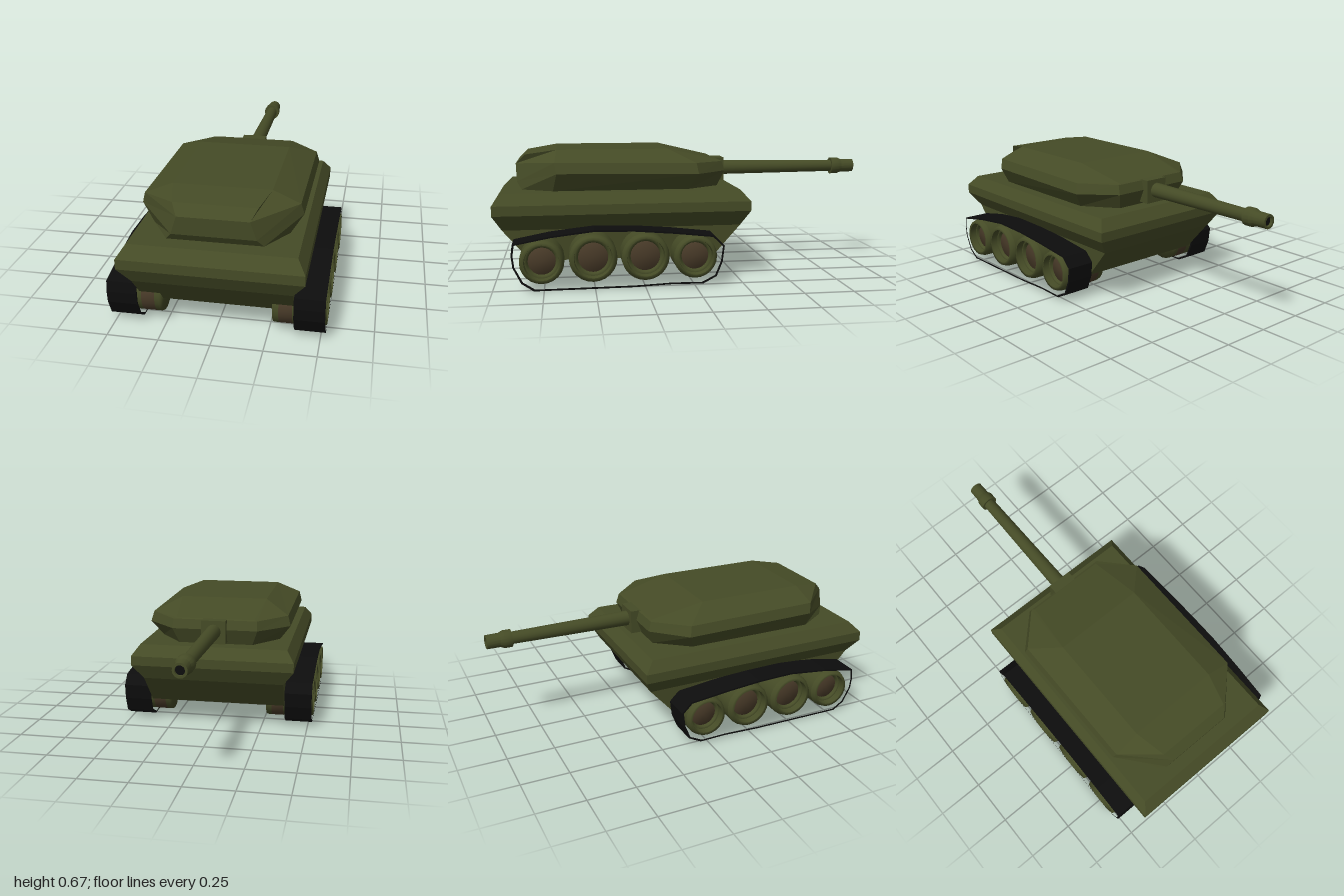
import * as THREE from 'three';
import { toCreasedNormals } from 'three/addons/utils/BufferGeometryUtils.js';

const paint = (name, color) => {
  const m = new THREE.MeshStandardMaterial({ color });
  m.name = name;
  return m;
};

// Stacks mirrored half outlines ([x, y, z] from front to back) into a closed faceted solid.
function loft(halves) {
  const rings = halves.map(h => [...h, ...h.slice().reverse().map(([x, y, z]) => [-x, y, z])]);
  const n = rings[0].length, pos = [];
  const quad = (a, b, c, d) => pos.push(...a, ...b, ...c, ...a, ...c, ...d);
  for (let r = 0; r < rings.length - 1; r++)
    for (let i = 0; i < n; i++) {
      const j = (i + 1) % n;
      quad(rings[r][i], rings[r][j], rings[r + 1][j], rings[r + 1][i]);
    }
  const bottom = rings[0], top = rings[rings.length - 1];
  for (let k = 0; k < n / 2 - 1; k++) {
    quad(top[n - 1 - k], top[k], top[k + 1], top[n - 2 - k]);
    quad(bottom[n - 2 - k], bottom[k + 1], bottom[k], bottom[n - 1 - k]);
  }
  const g = new THREE.BufferGeometry();
  g.setAttribute('position', new THREE.Float32BufferAttribute(pos, 3));
  g.computeVertexNormals();
  return g;
}

// Turns a profile of [radius, distance along axis] with crisp edges.
const turned = (profile, sides) =>
  toCreasedNormals(new THREE.LatheGeometry(profile.map(p => new THREE.Vector2(...p)), sides), 0.5);

export function createModel() {
  const model = new THREE.Group();
  model.name = 'tank';
  const olive = paint('olive paint', 0x454b26);
  const black = paint('black rubber', 0x0d0d0d);
  const brown = paint('rusty brown', 0x483a28);
  const add = (name, geometry, material, parent = model) => {
    const mesh = new THREE.Mesh(geometry, material);
    mesh.name = name;
    parent.add(mesh);
    return mesh;
  };

  // Hull: rows of half width, height, front z, back z
  add('hull', loft([
    [0.37, 0.12, 0.82, -0.12],
    [0.378, 0.28, 0.955, -0.26],
    [0.435, 0.36, 1.0, -0.305],
    [0.435, 0.41, 1.0, -0.305],
    [0.395, 0.467, 0.945, -0.255],
  ].map(([x, y, f, b]) => [[x, y, f], [x, y, b]])), olive);

  // Turret with chamfered corners
  add('turret', loft([
    [[0.23, 0.467, 0.86], [0.33, 0.467, 0.7], [0.33, 0.467, 0.0], [0.2, 0.467, -0.17]],
    [[0.2, 0.505, 0.885], [0.39, 0.56, 0.68], [0.39, 0.55, -0.04], [0.23, 0.55, -0.205]],
    [[0.17, 0.597, 0.89], [0.375, 0.615, 0.69], [0.375, 0.605, -0.03], [0.225, 0.6, -0.19]],
    [[0.2, 0.645, 0.84], [0.24, 0.67, 0.68], [0.24, 0.67, 0.1], [0.21, 0.605, -0.18]],
  ]), olive);

  // Gun
  const mantlet = add('mantlet', new THREE.BoxGeometry(0.13, 0.125, 0.12), olive);
  mantlet.position.set(0, 0.542, -0.175);
  const gun = new THREE.Group();
  gun.name = 'gun';
  gun.position.y = 0.545;
  gun.rotation.x = -Math.PI / 2;
  model.add(gun);
  add('barrel', turned([
    [0.04, 0.2], [0.032, 0.87], [0.046, 0.87], [0.046, 0.91], [0.037, 0.93],
    [0.036, 1.0], [0.024, 1.0], [0.024, 0.985],
  ], 16), olive, gun);
  const bore = add('bore', new THREE.CircleGeometry(0.025, 16), black, gun);
  bore.rotation.x = -Math.PI / 2;
  bore.position.y = 0.986;

  // Track outline as [z, y], with a slightly smaller opening
  const outline = [
    [0.9, 0.235], [0.72, 0.27], [0.5, 0.297], [0.3, 0.292], [0.1, 0.275], [-0.1, 0.252],
    [-0.15, 0.2], [-0.14, 0.12], [-0.11, 0.045], [-0.04, 0.008], [0.1, 0.012], [0.3, 0.003],
    [0.8, 0], [0.86, 0.04], [0.9, 0.12], [0.907, 0.18],
  ];
  const trackShape = new THREE.Shape(outline.map(([z, y]) => new THREE.Vector2(-z, y)));
  trackShape.holes.push(new THREE.Path(outline.map(([z, y]) =>
    new THREE.Vector2(-(0.38 + (z - 0.38) * 0.982), 0.15 + (y - 0.15) * 0.94))));
  const trackGeometry = new THREE.ExtrudeGeometry(trackShape, { depth: 0.147, bevelEnabled: false });
  trackGeometry.rotateY(Math.PI / 2);

  // Wheels as [z, y, radius]
  const wheels = [[0.76, 0.14, 0.11], [0.508, 0.152, 0.12], [0.247, 0.152, 0.12], [-0.005, 0.145, 0.11]];
  const tyre = turned([
    [0, 0.27], [0.98, 0.27], [1, 0.28], [1, 0.5], [0.92, 0.526], [0.8, 0.526],
    [0.77, 0.49], [0.66, 0.49], [0.62, 0.475],
  ], 24);
  const hub = turned([[0.64, 0.474], [0.6, 0.478], [0, 0.478]], 24);
  const band = turned([[1.004, 0.3], [1.004, 0.365]], 24);

  for (const side of [1, -1]) {
    const name = side > 0 ? 'left' : 'right';
    const track = add(name + 'Track', trackGeometry, black);
    track.position.x = side > 0 ? 0.375 : -0.522;
    wheels.forEach(([z, y, r], i) => {
      const wheel = new THREE.Group();
      wheel.name = name + 'Wheel' + (i + 1);
      wheel.position.set(0, y, z);
      wheel.rotation.z = -side * Math.PI / 2;
      wheel.scale.set(r, 1, r);
      model.add(wheel);
      add('tyre', tyre, olive, wheel);
      add('hub', hub, brown, wheel);
      add('rustBand', band, brown, wheel);
    });
  }
  return model;
}
